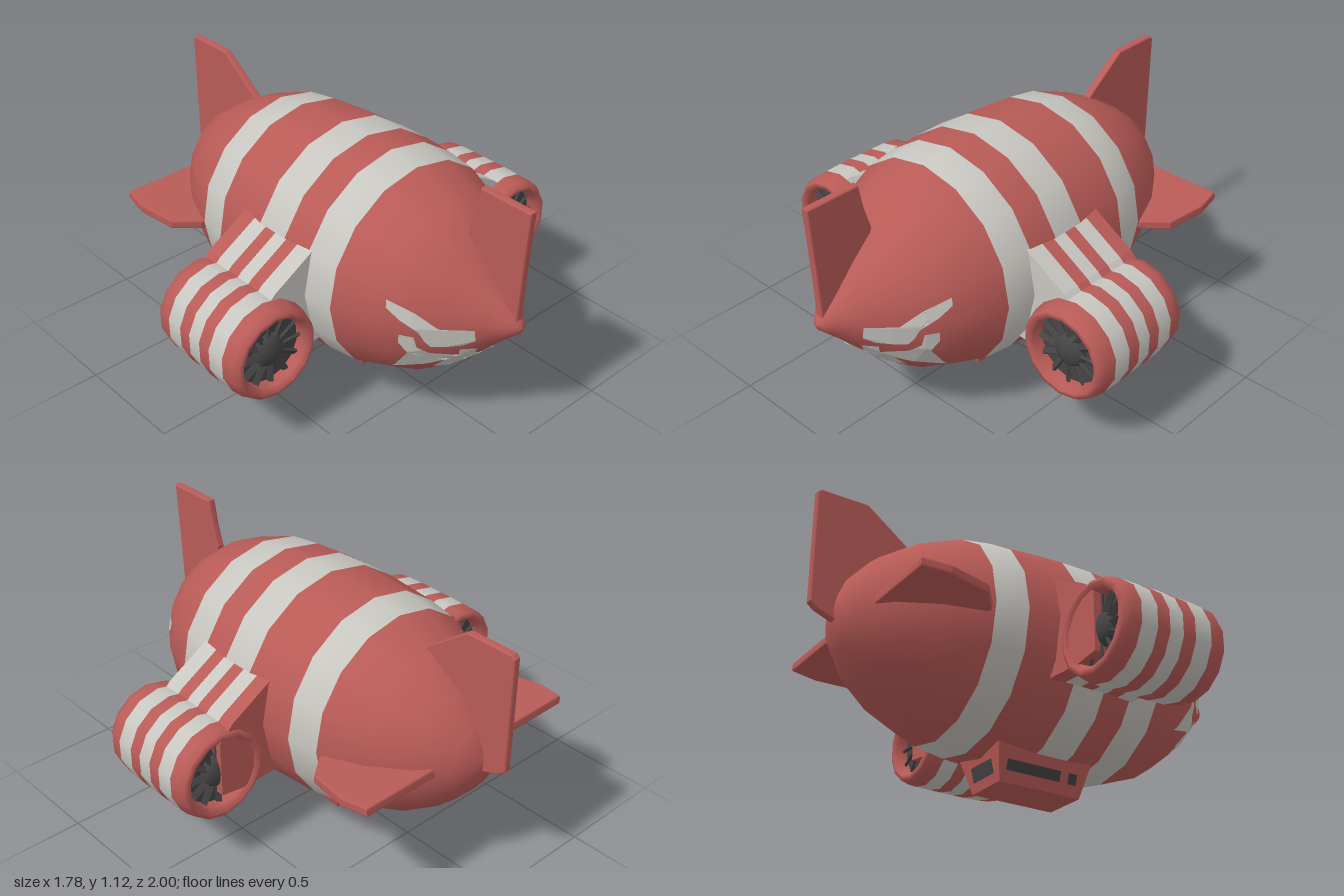
import * as THREE from 'three';

const mat = (name, color, extra = {}) => Object.assign(new THREE.MeshStandardMaterial({ color, ...extra }), { name });
const HULL_Y = 0.588, SIDES = 16;

// Hull radius along z, tail to nose
const HULL = [[-0.9, 0], [-0.885, 0.07], [-0.85, 0.15], [-0.75, 0.265], [-0.6, 0.365], [-0.41, 0.44], [-0.27, 0.462],
  [-0.02, 0.48], [0.13, 0.48], [0.265, 0.473], [0.41, 0.455], [0.6, 0.385], [0.7, 0.315], [0.8, 0.22],
  [0.9, 0.11], [0.96, 0.05], [0.985, 0.025], [0.995, 0]];
const HULL_STRIPES = [[-0.41, -0.27], [-0.02, 0.13], [0.265, 0.41]];

// Nacelle: inner rear lip, outer skin, inner front lip
const POD = [[-0.06, 0.15], [-0.12, 0.155], [-0.145, 0.175], [-0.135, 0.197], [-0.1, 0.206], [-0.06, 0.209],
  [0.016, 0.21], [0.075, 0.21], [0.14, 0.211], [0.2, 0.211], [0.28, 0.209], [0.335, 0.203], [0.362, 0.188],
  [0.365, 0.17], [0.345, 0.155], [0.28, 0.15]];
const POD_STRIPES = [[-0.06, 0.016], [0.075, 0.14], [0.2, 0.28]];

const inStripe = (z, stripes) => stripes.some(([a, b]) => z > a && z < b);

export function createModel() {
  const red = mat('red paint', 0xb95b57);
  const white = mat('off-white paint', 0xc8c6c0);
  const dark = mat('dark grey', 0x454343);
  const model = new THREE.Group();

  const add = (parent, name, geometry, material, x = 0, y = 0, z = 0) => {
    const mesh = new THREE.Mesh(geometry, material);
    mesh.name = name;
    mesh.position.set(x, y, z);
    parent.add(mesh);
    return mesh;
  };

  // Smooth body of revolution along z, its rows shared out between two colours
  const stripedLathe = (parent, name, profile, sides, stripes) => {
    const full = new THREE.LatheGeometry(profile.map(([z, r]) => new THREE.Vector2(r, z)), sides).rotateX(Math.PI / 2);
    const rows = profile.length - 1, index = Array.from(full.index.array);
    for (const isWhite of [false, true]) {
      const part = full.clone();
      part.setIndex(index.filter((_, i) => {
        const j = Math.floor(i / 6) % rows;
        const mid = (profile[j][0] + profile[j + 1][0]) / 2;
        const outer = profile[j + 1][0] > profile[j][0];
        return (outer && inStripe(mid, stripes)) === isWhite;
      }));
      add(parent, name + (isWhite ? 'Stripes' : 'Skin'), part, isWhite ? white : red);
    }
  };

  const shapeOf = (pts) => new THREE.Shape(pts.map(([x, y]) => new THREE.Vector2(x, y)));
  const slab = (pts, thick) => new THREE.ExtrudeGeometry(shapeOf(pts), {
    depth: thick - 0.016, bevelThickness: 0.008, bevelSize: 0.006, bevelOffset: -0.006, bevelSegments: 2,
  }).translate(0, 0, -(thick - 0.016) / 2);

  // Hull
  const hull = new THREE.Group();
  hull.name = 'hull';
  hull.position.y = HULL_Y;
  model.add(hull);
  stripedLathe(hull, 'hull', HULL, SIDES, HULL_STRIPES);

  // Height of the faceted nose surface at x, y
  const noseZ = (x, y) => {
    const sector = 2 * Math.PI / SIDES;
    const a = Math.atan2(x, y) + 2 * Math.PI;
    const off = (a % sector) - sector / 2;
    const r = Math.hypot(x, y) * Math.cos(off) / Math.cos(sector / 2);
    for (let i = HULL.length - 1; i > 0; i--) {
      const [z1, r1] = HULL[i], [z0, r0] = HULL[i - 1];
      if (r <= r0) return z1 + (z0 - z1) * (r - r1) / (r0 - r1);
    }
    return 0.4;
  };

  // Painted shape, finely divided and laid on the nose
  const decal = (name, pts) => {
    const flat = new THREE.ShapeGeometry(shapeOf(pts)).toNonIndexed().attributes.position;
    let tris = [];
    for (let i = 0; i < flat.count; i += 3)
      tris.push([0, 1, 2].map((k) => new THREE.Vector2(flat.getX(i + k), flat.getY(i + k))));
    for (let level = 0; level < 4; level++) {
      tris = tris.flatMap(([a, b, c]) => {
        const ab = a.clone().lerp(b, 0.5), bc = b.clone().lerp(c, 0.5), ca = c.clone().lerp(a, 0.5);
        return [[a, ab, ca], [ab, b, bc], [ca, bc, c], [ab, bc, ca]];
      });
    }
    const points = tris.flat().map((p) => new THREE.Vector3(p.x, p.y, noseZ(p.x, p.y - HULL_Y) + 0.007));
    const geometry = new THREE.BufferGeometry().setFromPoints(points);
    geometry.computeVertexNormals();
    add(model, name, geometry, white);
  };
  const mirror = (pts) => pts.map(([x, y]) => [-x, y]);

  // Angry eyes and jagged mouth
  const eye = [[0.355, 0.7], [0.295, 0.655], [0.24, 0.592], [0.14, 0.588], [0.13, 0.53], [0.16, 0.505],
    [0.25, 0.498], [0.27, 0.525], [0.29, 0.57], [0.335, 0.62], [0.36, 0.665]];
  decal('leftEye', eye);
  decal('rightEye', mirror(eye));
  const grin = [[0, 0.43], [0.085, 0.43], [0.105, 0.48], [0.16, 0.478], [0.15, 0.44], [0.24, 0.455], [0.285, 0.49],
    [0.3, 0.545], [0.335, 0.55], [0.33, 0.505], [0.3, 0.45], [0.29, 0.33], [0.22, 0.375], [0.172, 0.395],
    [0.172, 0.325], [0.13, 0.32], [0, 0.316]];
  decal('mouth', [...grin, ...mirror(grin).reverse().slice(1, -1)]);

  // Upright fins on the tail and nose, drawn as z, y
  add(model, 'tailFin', slab([[-0.55, 0.95], [-0.6, 0.99], [-0.77, 1.115], [-0.985, 1.115], [-1, 1.1], [-1, 0.6],
    [-0.97, 0.575], [-0.89, 0.545], [-0.8, 0.6]], 0.034).rotateY(-Math.PI / 2), red);
  add(model, 'noseFin', slab([[1, 1.115], [0.755, 1.115], [0.735, 1.01], [0.705, 0.91], [0.72, 0.75],
    [0.9, 0.6], [0.975, 0.6], [0.985, 0.85]], 0.034).rotateY(-Math.PI / 2), red);

  for (const s of [1, -1]) {
    const side = s > 0 ? 'left' : 'right';

    // Side tail fin, drawn as x, z
    const fin = [[0.3, -0.42], [0.44, -0.43], [0.54, -0.51], [0.57, -0.69], [0.55, -0.81], [0.15, -0.81]];
    const finMesh = add(model, side + 'TailFin', slab(fin.map(([x, z]) => [x * s, z]), 0.04).rotateX(Math.PI / 2), red, 0, 0.535);
    finMesh.rotation.x = 0.06;

    // Pylon, cut into bands that match the nacelle stripes
    const section = [[0.38, 0.81], [0.48, 0.75], [0.62, 0.668], [0.69, 0.6], [0.69, 0.35], [0.58, 0.335], [0.38, 0.345]];
    const cuts = [-0.13, -0.06, 0.016, 0.075, 0.14, 0.2, 0.28];
    const pylon = new THREE.Group();
    pylon.name = side + 'Pylon';
    model.add(pylon);
    // Trimmed to stop inside the nacelle wall, clear of its open duct
    const wall = section.map(([x, y]) => [x * s, y]);
    for (let i = 0; i < 6; i++) {
      const depth = cuts[i + 1] - cuts[i];
      const band = new THREE.ExtrudeGeometry(shapeOf(wall), { depth, bevelEnabled: false });
      add(pylon, 'pylonBand', band, i % 2 ? white : red, 0, 0, cuts[i]);
    }

    // Nacelle with a fan at each end
    const pod = new THREE.Group();
    pod.name = side + 'Nacelle';
    pod.position.set(0.683 * s, 0.45, 0);
    model.add(pod);
    stripedLathe(pod, 'nacelle', POD, 14, POD_STRIPES);
    for (const end of [1, -1]) {
      const fan = new THREE.Group();
      fan.name = end > 0 ? 'frontFan' : 'rearFan';
      fan.position.z = end > 0 ? 0.3 : -0.135;
      if (end < 0) { fan.rotation.y = Math.PI; fan.position.z = -0.08; }
      pod.add(fan);
      const plate = add(fan, 'fanPlate', new THREE.CylinderGeometry(0.156, 0.156, 0.12, 20), dark, 0, 0, -0.06);
      plate.rotation.x = Math.PI / 2;
      add(fan, 'fanHub', new THREE.SphereGeometry(0.075, 16, 10).scale(1, 1, 0.6), dark);
      for (let k = 0; k < 12; k++) {
        const blade = new THREE.BoxGeometry(0.025, 0.1, 0.012).rotateY(0.6).translate(0, 0.105, 0.012);
        add(fan, 'fanBlade', blade, dark).rotation.z = k * Math.PI / 6;
      }
    }
  }

  // Gondola: a box flared towards the top
  const cabin = new THREE.BoxGeometry(0.2, 0.16, 0.39);
  const p = cabin.attributes.position;
  for (let i = 0; i < p.count; i++)
    if (p.getY(i) > 0) p.setXYZ(i, p.getX(i) * 1.49, p.getY(i), p.getZ(i) * 1.19);
  cabin.computeVertexNormals();
  add(model, 'gondola', cabin, red, 0, 0.08, 0.025);

  // Gondola windows
  for (const s of [1, -1]) {
    for (const [z, len] of [[0.17, 0.04], [-0.02, 0.26]])
      add(model, 'sideWindow', new THREE.BoxGeometry(0.008, 0.045, len), dark, 0.1215 * s, 0.07, z).rotation.z = -0.3 * s;
    add(model, s > 0 ? 'frontWindow' : 'rearWindow', new THREE.BoxGeometry(0.145, 0.06, 0.008), dark,
      0, 0.07, 0.025 + 0.211 * s).rotation.x = 0.23 * s;
  }
  return model;
}
